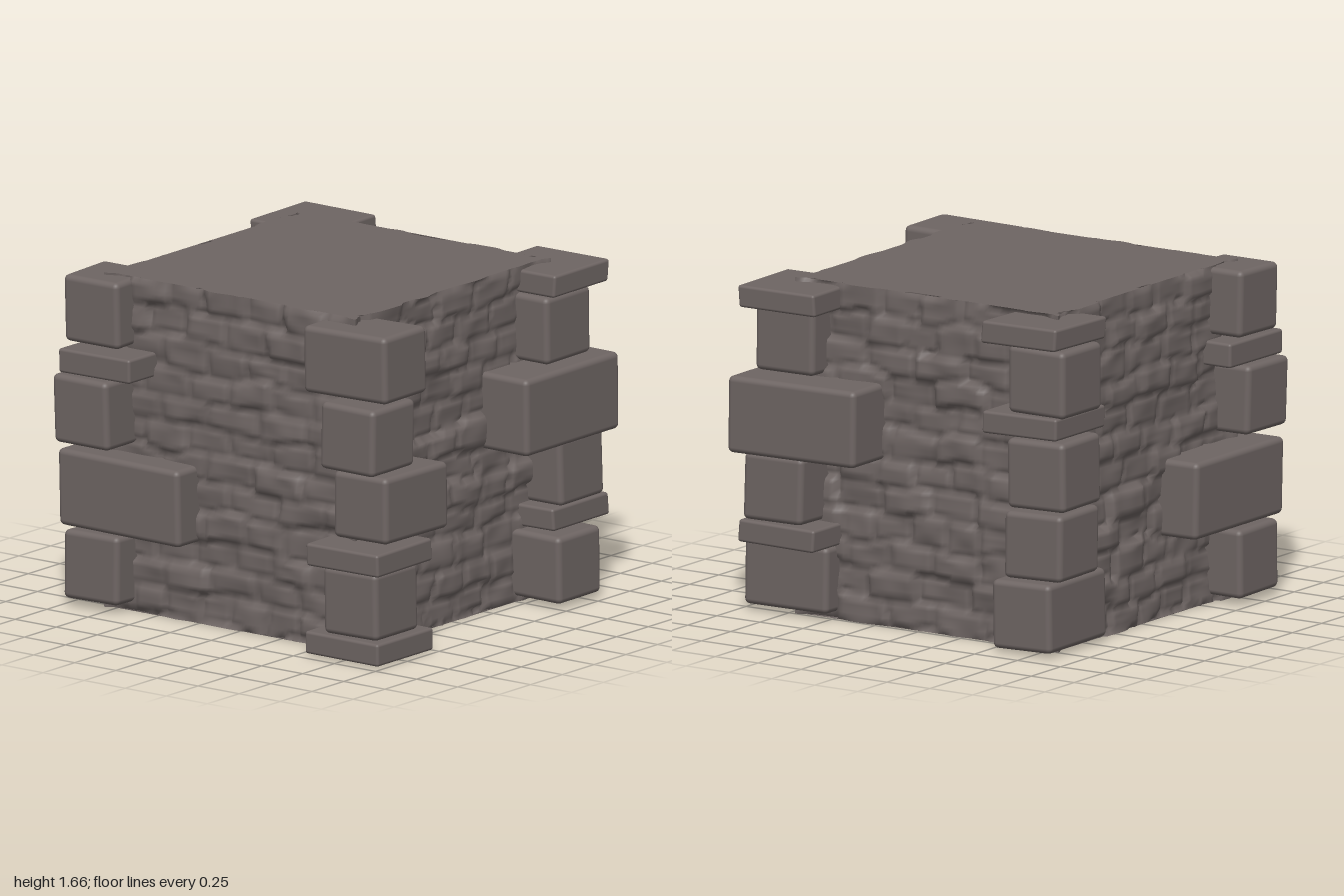
import * as THREE from 'three';
import { RoundedBoxGeometry } from 'three/addons/geometries/RoundedBoxGeometry.js';

const stone = new THREE.MeshStandardMaterial({ color: 0x6e6563 });
stone.name = 'warm grey stone';

// Repeatable pseudo-random value for a lattice point
function hash(a, b, c) {
  const s = Math.sin(a * 127.1 + b * 311.7 + c * 74.7) * 43758.5453;
  return s - Math.floor(s);
}

// Smooth noise between lattice points
function noise(x, y, seed) {
  const i = Math.floor(x), j = Math.floor(y);
  const f = THREE.MathUtils.smoothstep(x - i, 0, 1), g = THREE.MathUtils.smoothstep(y - j, 0, 1);
  const a = THREE.MathUtils.lerp(hash(i, j, seed), hash(i + 1, j, seed), f);
  const b = THREE.MathUtils.lerp(hash(i, j + 1, seed), hash(i + 1, j + 1, seed), f);
  return THREE.MathUtils.lerp(a, b, g);
}

// Outward offset of the rubble wall at (u, y): staggered worn stones with joints
function wallRelief(u, y, side) {
  const wu = u + 0.05 * (noise(u * 6, y * 6, side + 10) - 0.5);
  const wy = y + 0.06 * (noise(u * 5, y * 5, side + 20) - 0.5);
  const courseH = 0.139;
  const row = Math.floor(wy / courseH);
  const brickW = 0.2 + 0.1 * hash(row, side, 3);
  const t = wu / brickW + 0.5 * (row & 1) + hash(row, side, 5) * 0.3;
  const col = Math.floor(t);
  const toJointU = (0.5 - Math.abs(t - col - 0.5)) * brickW;
  const toJointY = (0.5 - Math.abs(wy / courseH - row - 0.5)) * courseH;
  const joint = 1 - THREE.MathUtils.smoothstep(Math.min(toJointU, toJointY), 0.0, 0.022);
  const proud = hash(row, col, side + 7) * 0.034;
  return 0.012 - proud - joint * 0.018 - 0.02 * noise(u * 9, y * 12, side + 30);
}

// Rough stone core with flat top and bottom
function makeCore() {
  const hx = 0.765, hz = 0.77, h = 1.66;
  const geo = new THREE.BoxGeometry(hx * 2, h, hz * 2, 72, 80, 72);
  const p = geo.attributes.position;
  const fade = (d) => THREE.MathUtils.smoothstep(d, 0, 0.08);
  for (let i = 0; i < p.count; i++) {
    const x = p.getX(i), y = p.getY(i) + h / 2, z = p.getZ(i);
    if (Math.abs(Math.abs(x) - hx) < 1e-4) {
      p.setX(i, x + Math.sign(x) * fade(hz - Math.abs(z)) * wallRelief(z, y, x > 0 ? 1 : 2));
    } else if (Math.abs(Math.abs(z) - hz) < 1e-4) {
      p.setZ(i, z + Math.sign(z) * fade(hx - Math.abs(x)) * wallRelief(x, y, z > 0 ? 3 : 4));
    }
  }
  geo.computeVertexNormals();
  const mesh = new THREE.Mesh(geo, stone);
  mesh.name = 'rubbleCore';
  mesh.position.set(-0.05, 0.01 + h / 2, 0.02);
  return mesh;
}

// Corner stones, bottom to top: [x0, x1, y0, y1, z0, z1]
const corners = {
  frontRightCorner: [
    [-0.98, -0.65, 0.05, 0.39, 0.57, 0.90],
    [-1.00, -0.26, 0.41, 0.79, 0.17, 0.92],
    [-0.98, -0.65, 0.84, 1.18, 0.64, 0.98],
    [-0.95, -0.52, 1.19, 1.31, 0.53, 0.97],
    [-0.98, -0.65, 1.33, 1.66, 0.57, 0.90],
  ],
  frontLeftCorner: [
    [0.54, 0.98, 0.02, 0.13, 0.52, 0.96],
    [0.62, 0.95, 0.13, 0.46, 0.59, 0.93],
    [0.54, 0.98, 0.46, 0.57, 0.52, 0.96],
    [0.65, 0.98, 0.60, 0.93, 0.39, 0.89],
    [0.62, 0.95, 0.95, 1.28, 0.62, 0.95],
    [0.50, 1.00, 1.31, 1.64, 0.59, 0.93],
  ],
  backLeftCorner: [
    [0.48, 0.97, 0.04, 0.37, -0.82, -0.49],
    [0.46, 0.90, 0.38, 0.49, -0.97, -0.53],
    [0.55, 0.89, 0.49, 0.82, -0.94, -0.60],
    [0.22, 0.96, 0.82, 1.20, -0.98, -0.24],
    [0.54, 0.88, 1.21, 1.54, -0.85, -0.51],
    [0.46, 0.90, 1.54, 1.65, -0.97, -0.53],
  ],
  backRightCorner: [
    [-0.87, -0.53, 0.03, 0.37, -0.90, -0.41],
    [-0.94, -0.61, 0.39, 0.72, -0.91, -0.58],
    [-0.96, -0.63, 0.74, 1.08, -0.92, -0.59],
    [-0.95, -0.52, 1.10, 1.21, -0.97, -0.54],
    [-0.98, -0.65, 1.21, 1.54, -0.94, -0.61],
    [-0.95, -0.52, 1.54, 1.65, -0.97, -0.54],
  ],
};

// One worn block with softened edges and slightly uneven corners
function makeBlock([x0, x1, y0, y1, z0, z1], seed) {
  const w = x1 - x0, h = y1 - y0, d = z1 - z0;
  const geo = new RoundedBoxGeometry(w, h, d, 3, h < 0.2 ? 0.014 : 0.028);
  const p = geo.attributes.position;
  for (let i = 0; i < p.count; i++) {
    const sx = p.getX(i) / w * 2, sy = p.getY(i) / h * 2, sz = p.getZ(i) / d * 2;
    const skew = (k) => (hash(seed, k, 1) - 0.5) * 0.008;
    p.setXYZ(i,
      p.getX(i) + sy * skew(1) + sz * skew(2),
      p.getY(i) + sx * skew(3) + sz * skew(4),
      p.getZ(i) + sy * skew(5) + sx * skew(6));
  }
  const mesh = new THREE.Mesh(geo, stone);
  mesh.name = h < 0.2 ? 'cornerSlab' : 'cornerBlock';
  mesh.position.set((x0 + x1) / 2, (y0 + y1) / 2, (z0 + z1) / 2);
  return mesh;
}

export function createModel() {
  const model = new THREE.Group();
  model.name = 'stoneWallBlock';
  model.add(makeCore());
  let seed = 1;
  for (const [name, blocks] of Object.entries(corners)) {
    const group = new THREE.Group();
    group.name = name;
    for (const block of blocks) group.add(makeBlock(block, seed++));
    model.add(group);
  }
  return model;
}
